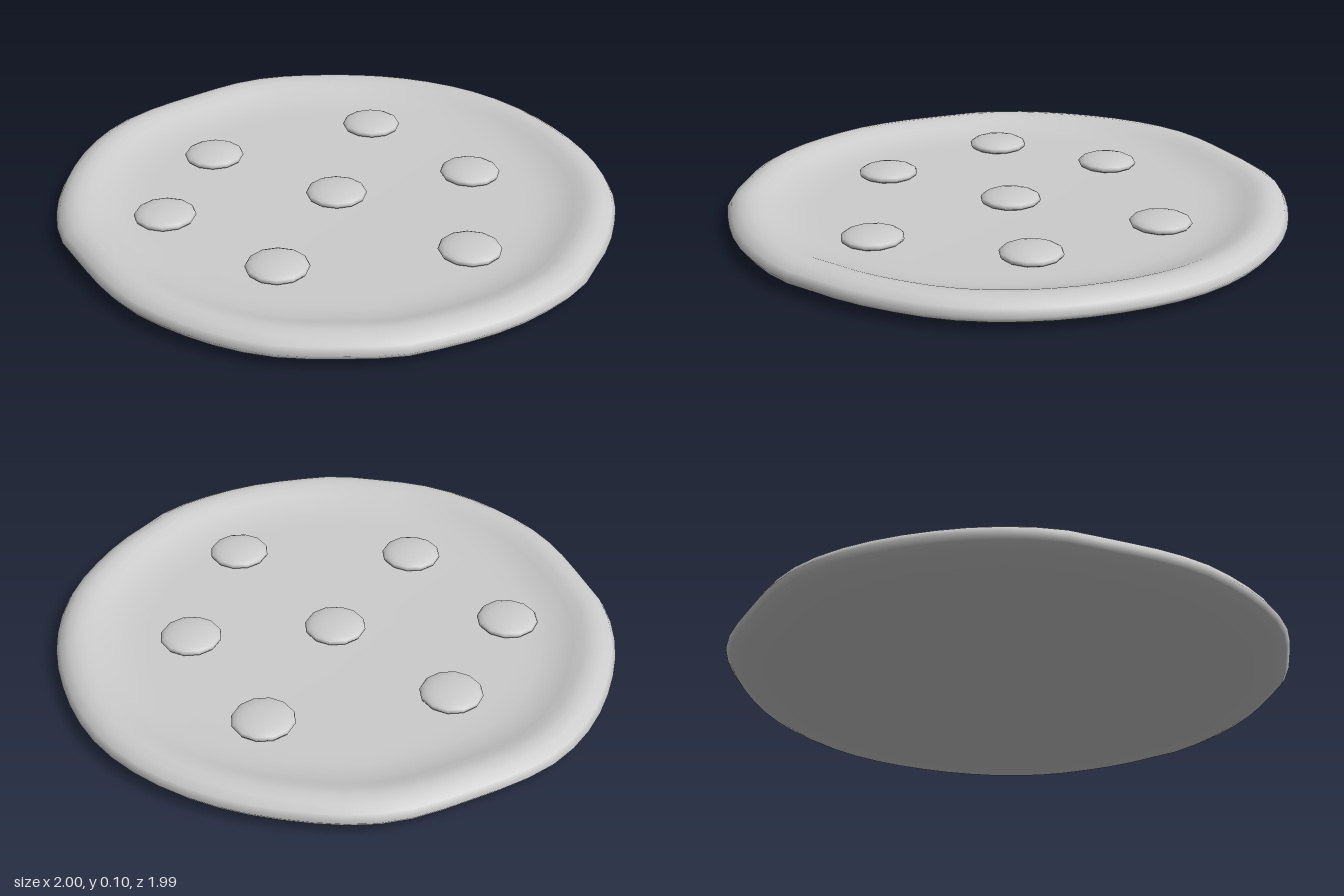
import * as THREE from 'three';
import { mergeVertices } from 'three/addons/utils/BufferGeometryUtils.js';

const grey = new THREE.MeshStandardMaterial({ color: 0xcccccc });
grey.name = 'light grey';

// Uneven hand-shaped outline: [angle in degrees from +x towards +z, radius]
const outline = [
  [0, 1], [15, 0.99], [30, 0.99], [38, 1.005], [52, 1], [69, 0.995], [79, 1.005],
  [90, 0.995], [103, 1.004], [128, 0.99], [152, 0.972], [166, 0.997], [183, 1],
  [213, 1.018], [234, 0.993], [251, 1.012], [270, 0.998], [308, 1.01], [333, 0.996], [360, 1],
];

function radiusAt(degrees) {
  const i = Math.max(1, outline.findIndex(([a]) => a >= degrees));
  const [a0, r0] = outline[i - 1], [a1, r1] = outline[i];
  return THREE.MathUtils.lerp(r0, r1, THREE.MathUtils.smoothstep(degrees, a0, a1));
}

// Flat base with a rounded raised rim, turned and then pushed to the outline
function makeBase() {
  const profile = [
    [0, 0], [0.86, 0], [0.9, 0.002], [0.95, 0.012], [0.985, 0.03], [1, 0.05],
    [0.985, 0.075], [0.955, 0.093], [0.92, 0.099], [0.885, 0.093], [0.85, 0.079],
    [0.8, 0.062], [0.74, 0.053], [0.66, 0.05], [0, 0.05],
  ].map(([r, y]) => new THREE.Vector2(r, y));
  let geometry = new THREE.LatheGeometry(profile, 60);
  geometry.deleteAttribute('uv');
  geometry.deleteAttribute('normal');
  const p = geometry.attributes.position;
  for (let i = 0; i < p.count; i++) {
    const x = p.getX(i), z = p.getZ(i);
    const degrees = (Math.atan2(z, x) * 180 / Math.PI + 360) % 360;
    const s = radiusAt(degrees);
    p.setX(i, x * s);
    p.setZ(i, z * s);
  }
  geometry = mergeVertices(geometry, 1e-4);
  geometry.computeVertexNormals();
  return geometry;
}

export function createModel() {
  const model = new THREE.Group();
  model.name = 'flatRoundPie';

  const base = new THREE.Mesh(makeBase(), grey);
  base.name = 'base';
  model.add(base);

  // Flattened round slices scattered over the base
  const slice = new THREE.SphereGeometry(0.11, 12, 10);
  slice.scale(1, 0.25, 1);
  const spots = [
    [0, -0.01], [0.145, -0.56], [-0.455, -0.31], [0.495, -0.16],
    [-0.605, 0.14], [0.445, 0.39], [-0.205, 0.49],
  ];
  spots.forEach(([x, z], i) => {
    const topping = new THREE.Mesh(slice, grey);
    topping.name = `toppingSlice${i + 1}`;
    topping.position.set(x, 0.064, z);
    model.add(topping);
  });
  return model;
}
